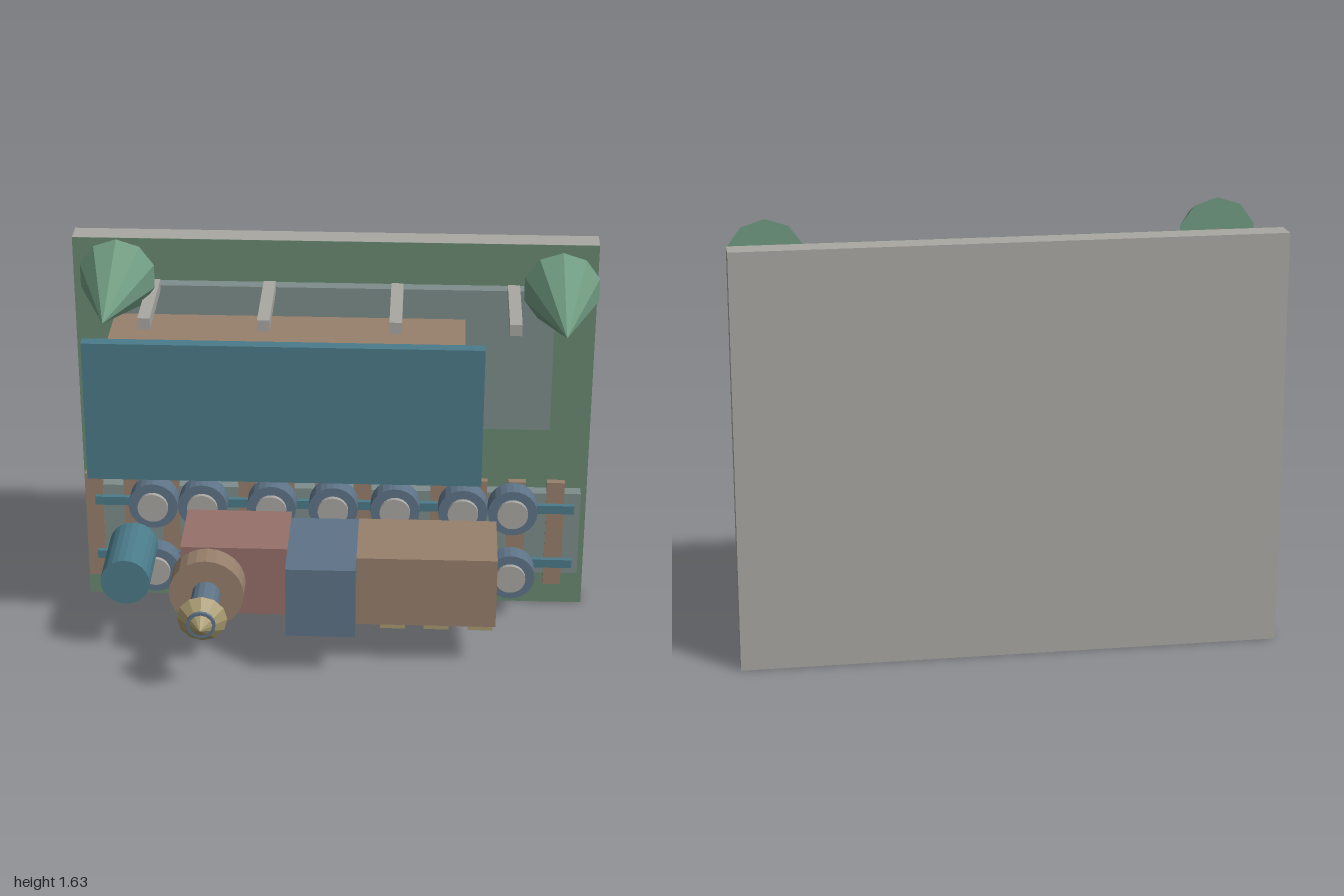
import * as THREE from 'three';

const COLORS = {
  grey: 0xa9a7a2, green: 0x6a8a72, leaf: 0x6f9a80, slate: 0x7d8d8b, brown: 0x97806c,
  teal: 0x4b7b8a, blue: 0x5f7488, pink: 0x97706a, gold: 0xa89a70,
};
const flat = {}, smooth = {};
for (const [key, color] of Object.entries(COLORS)) {
  flat[key] = new THREE.MeshStandardMaterial({ color, flatShading: true });
  smooth[key] = new THREE.MeshStandardMaterial({ color });
}

function add(parent, name, geometry, material) {
  const mesh = new THREE.Mesh(geometry, material);
  mesh.name = name;
  parent.add(mesh);
  return mesh;
}

// Box given by its limits on each axis
function box(parent, name, color, [x0, x1], [y0, y1], [z0, z1]) {
  const mesh = add(parent, name, new THREE.BoxGeometry(x1 - x0, y1 - y0, z1 - z0), flat[color]);
  mesh.position.set((x0 + x1) / 2, (y0 + y1) / 2, (z0 + z1) / 2);
  return mesh;
}

// Cylinder or cone along z, from z0 (radius r0) to z1 (radius r1)
function rod(parent, name, material, x, y, [z0, z1], r0, r1 = r0, sides = 24) {
  const geometry = new THREE.CylinderGeometry(r1, r0, z1 - z0, sides).rotateX(Math.PI / 2);
  const mesh = add(parent, name, geometry, material);
  mesh.position.set(x, y, (z0 + z1) / 2);
  return mesh;
}

function group(parent, name) {
  const g = new THREE.Group();
  g.name = name;
  parent.add(g);
  return g;
}

export function createModel() {
  const model = new THREE.Group();
  model.name = 'railwayStation';

  // Ground slab with a thin grass skin
  const ground = group(model, 'ground');
  box(ground, 'baseSlab', 'grey', [-1, 1], [0, 1.56], [-0.475, -0.381]);
  box(ground, 'grass', 'green', [-1, 1], [0, 1.56], [-0.381, -0.379]);

  // Track: bed, sleepers and two rails
  const track = group(model, 'track');
  box(track, 'trackBed', 'slate', [-0.975, 0.975], [0.165, 0.525], [-0.38, -0.328]);
  for (let i = 0; i < 13; i++) {
    const x = -0.955 + i * 0.1525;
    box(track, 'sleeper', 'brown', [x - 0.035, x + 0.035], [0.115, 0.575], [-0.352, -0.323]);
  }
  for (const y of [0.22, 0.465]) {
    box(track, 'rail', 'teal', [-0.95, 0.95], [y - 0.018, y + 0.018], [-0.323, -0.303]);
  }

  // Station: platform, building, roof, pillars and windows
  const station = group(model, 'station');
  box(station, 'platform', 'slate', [-0.84, 0.84], [0.805, 1.39], [-0.38, -0.328]);
  box(station, 'building', 'brown', [-0.84, 0.5], [0.83, 1.27], [-0.328, 0.015]);
  box(station, 'roof', 'teal', [-0.915, 0.57], [0.77, 1.33], [0.038, 0.085]);
  for (const x of [-0.685, -0.245, 0.24, 0.68]) {
    box(station, 'pillar', 'grey', [x - 0.023, x + 0.023], [1.37, 1.415], [-0.328, 0.038]);
  }
  for (let i = 0; i < 4; i++) {
    const x = -0.685 + i * 0.317;
    box(station, 'window', 'grey', [x - 0.073, x + 0.073], [0.755, 0.785], [-0.3, -0.06]);
  }

  // Train bodies
  const train = group(model, 'train');
  box(train, 'engineBody', 'pink', [-0.57, -0.16], [0.2, 0.49], [-0.2, 0.1]);
  box(train, 'cab', 'blue', [-0.16, 0.105], [0.2, 0.49], [-0.15, 0.255]);
  box(train, 'carriage', 'brown', [0.105, 0.64], [0.2, 0.49], [-0.155, 0.158]);
  for (const x of [0.245, 0.413, 0.582]) {
    box(train, 'carriageWindow', 'gold', [x - 0.048, x + 0.048], [0.17, 0.2], [-0.01, 0.135]);
  }
  rod(train, 'boilerFront', flat.teal, -0.785, 0.343, [-0.18, 0.125], 0.095);

  // Chimney: drum, pipe and pointed cap
  const chimney = group(train, 'chimney');
  rod(chimney, 'drum', flat.brown, -0.465, 0.343, [0.08, 0.2], 0.143);
  rod(chimney, 'pipe', flat.blue, -0.465, 0.343, [0.2, 0.43], 0.055, 0.055, 16);
  rod(chimney, 'cap', flat.gold, -0.465, 0.343, [0.38, 0.472], 0.095, 0, 12);

  // Wheels with raised hubs, one row on each side
  for (const x of [-0.71, -0.515, -0.243, 0, 0.243, 0.51, 0.705]) {
    for (const y of [0.198, 0.487]) {
      const wheel = group(train, 'wheel');
      rod(wheel, 'tyre', flat.blue, x, y, [-0.302, -0.226], 0.097);
      rod(wheel, 'hub', flat.grey, x, y, [-0.226, -0.208], 0.06);
    }
  }

  // Trees
  for (const [x, y] of [[-0.805, 1.488], [0.853, 1.463]]) {
    const tree = group(model, 'tree');
    rod(tree, 'trunk', flat.brown, x, y, [-0.379, -0.18], 0.03, 0.03, 10);
    rod(tree, 'foliage', flat.leaf, x, y, [-0.183, 0.255], 0.146, 0, 10);
  }
  return model;
}
